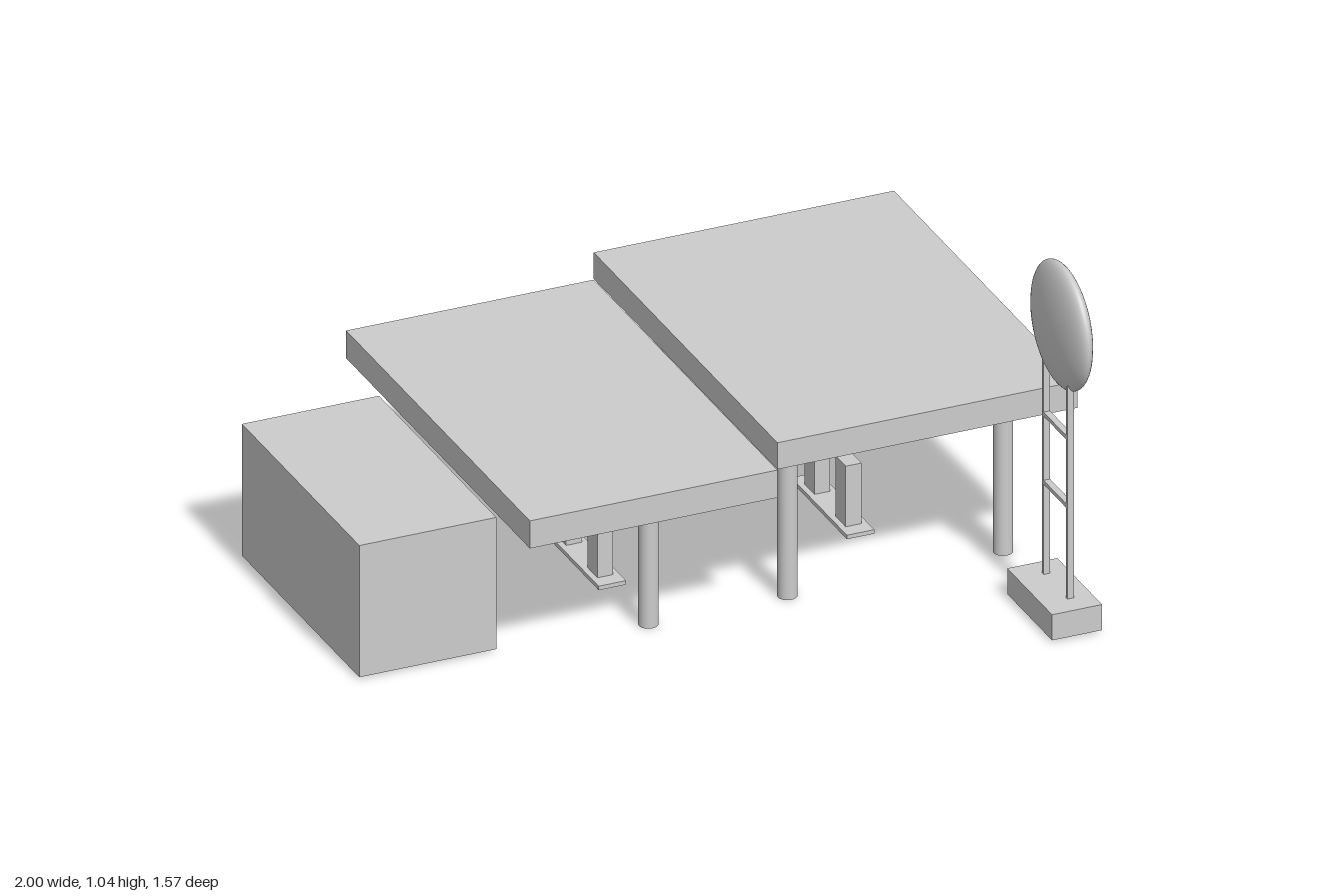
import * as THREE from 'three';

const material = new THREE.MeshStandardMaterial({ color: 0xcccccc });

export function createModel() {
  const model = new THREE.Group();
  model.name = 'fillingStation';

  const add = (name, geometry, parent = model) => {
    const mesh = new THREE.Mesh(geometry, material);
    mesh.name = name;
    parent.add(mesh);
    return mesh;
  };
  // Box given by its limits on each axis
  const box = (name, [x0, x1], [y0, y1], [z0, z1], parent) => {
    const mesh = add(name, new THREE.BoxGeometry(x1 - x0, y1 - y0, z1 - z0), parent);
    mesh.position.set((x0 + x1) / 2, (y0 + y1) / 2, (z0 + z1) / 2);
    return mesh;
  };
  const rect = (Type, [x0, x1], [y0, y1]) => new Type([
    new THREE.Vector2(x0, y0), new THREE.Vector2(x1, y0),
    new THREE.Vector2(x1, y1), new THREE.Vector2(x0, y1),
  ]);

  // Two stepped canopy roofs
  const roofZ = [-0.785, 0.42];
  box('lowCanopy', [-0.6, 0.123], [0.413, 0.496], roofZ);
  box('highCanopy', [0.123, 1], [0.498, 0.578], roofZ);

  // Pillars in three pairs
  for (const [x, height] of [[-0.166, 0.413], [0.24, 0.498], [0.87, 0.498]]) {
    for (const z of [0.222, -0.542]) {
      add('pillar', new THREE.CylinderGeometry(0.027, 0.027, height, 32))
        .position.set(x, height / 2, z);
    }
  }

  // Pump islands, each with two pumps
  for (const x of [-0.172, 0.553]) {
    const island = new THREE.Group();
    island.name = 'pumpIsland';
    model.add(island);
    box('islandBase', [x - 0.04, x + 0.04], [0.006, 0.018], [-0.365, 0], island);
    for (const z of [-0.079, -0.284]) {
      box('pump', [x - 0.023, x + 0.023], [0.018, 0.2], [z - 0.033, z + 0.033], island);
    }
  }

  // Shop: solid core plus two thin walls cut for the recessed doors
  const shop = new THREE.Group();
  shop.name = 'shop';
  model.add(shop);
  const recess = 0.012;
  const wallY = [0.006, 0.402], doorY = [0.025, 0.328];
  box('shopCore', [-1, -0.6 - recess], wallY, [-0.57 + recess, 0.2], shop);
  const wall = (name, span, door) => {
    const shape = rect(THREE.Shape, span, wallY);
    shape.holes.push(rect(THREE.Path, door, doorY));
    return add(name, new THREE.ExtrudeGeometry(shape, { depth: recess, bevelEnabled: false }), shop);
  };
  const sideWall = wall('sideDoorWall', [-0.2, 0.57], [0.35, 0.498]);
  sideWall.rotation.y = Math.PI / 2;
  sideWall.position.x = -0.6 - recess;
  wall('backDoorWall', [-1, -0.6 - recess], [-0.875, -0.745]).position.z = -0.57;

  // Roadside sign: plinth, ladder frame and lens-shaped disc
  const sign = new THREE.Group();
  sign.name = 'roadSign';
  model.add(sign);
  box('signPlinth', [0.775, 0.921], [0.006, 0.083], [0.463, 0.757], sign);
  for (const z of [0.53, 0.686]) {
    box('signPost', [0.849, 0.868], [0.083, 0.75], [z - 0.005, z + 0.005], sign);
  }
  for (const y of [0.36, 0.565]) {
    box('signRung', [0.849, 0.868], [y - 0.006, y + 0.006], [0.53, 0.686], sign);
  }
  const disc = add('signDisc', new THREE.SphereGeometry(1, 48, 32), sign);
  disc.scale.set(0.044, 0.181, 0.181);
  disc.position.set(0.87, 0.863, 0.607);

  return model;
}
